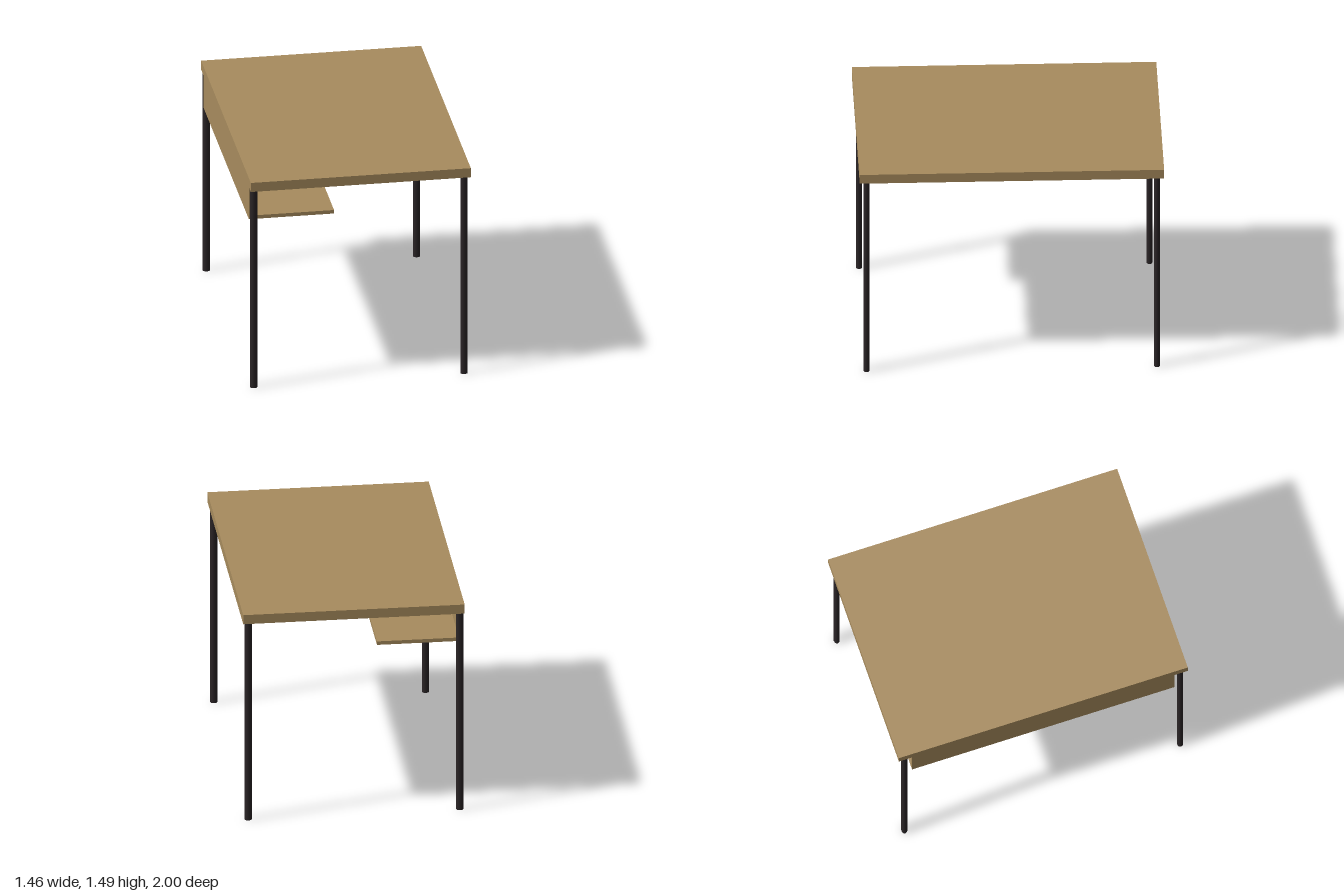
import * as THREE from 'three';

export function createModel() {
  const table = new THREE.Group();
  table.name = 'table';

  const wood = new THREE.MeshStandardMaterial({ color: 0xa88c5e });
  wood.name = 'wood';
  const darkMetal = new THREE.MeshStandardMaterial({ color: 0x2b2527 });
  darkMetal.name = 'dark metal';

  // Adds a wooden board spanning the given ranges, centred on z
  function board(name, x0, x1, y0, y1, depth) {
    const mesh = new THREE.Mesh(new THREE.BoxGeometry(x1 - x0, y1 - y0, depth), wood);
    mesh.position.set((x0 + x1) / 2, (y0 + y1) / 2, 0);
    mesh.name = name;
    table.add(mesh);
  }

  board('tableTop', -0.732, 0.732, 1.423, 1.488, 2);
  // Side panel hanging from the top, with a shelf along its foot
  board('sidePanel', -0.73, -0.705, 1.187, 1.423, 1.816);
  board('shelf', -0.705, -0.163, 1.187, 1.212, 1.816);

  // Four slim legs, slightly oval in section
  const legGeometry = new THREE.CylinderGeometry(1, 1, 1.423, 12);
  legGeometry.scale(0.024, 1, 0.02);
  for (const x of [-0.705, 0.694]) {
    for (const z of [-0.954, 0.954]) {
      const leg = new THREE.Mesh(legGeometry, darkMetal);
      leg.position.set(x, 1.423 / 2, z);
      leg.name = `${z > 0 ? 'front' : 'back'}${x > 0 ? 'Left' : 'Right'}Leg`;
      table.add(leg);
    }
  }

  return table;
}
